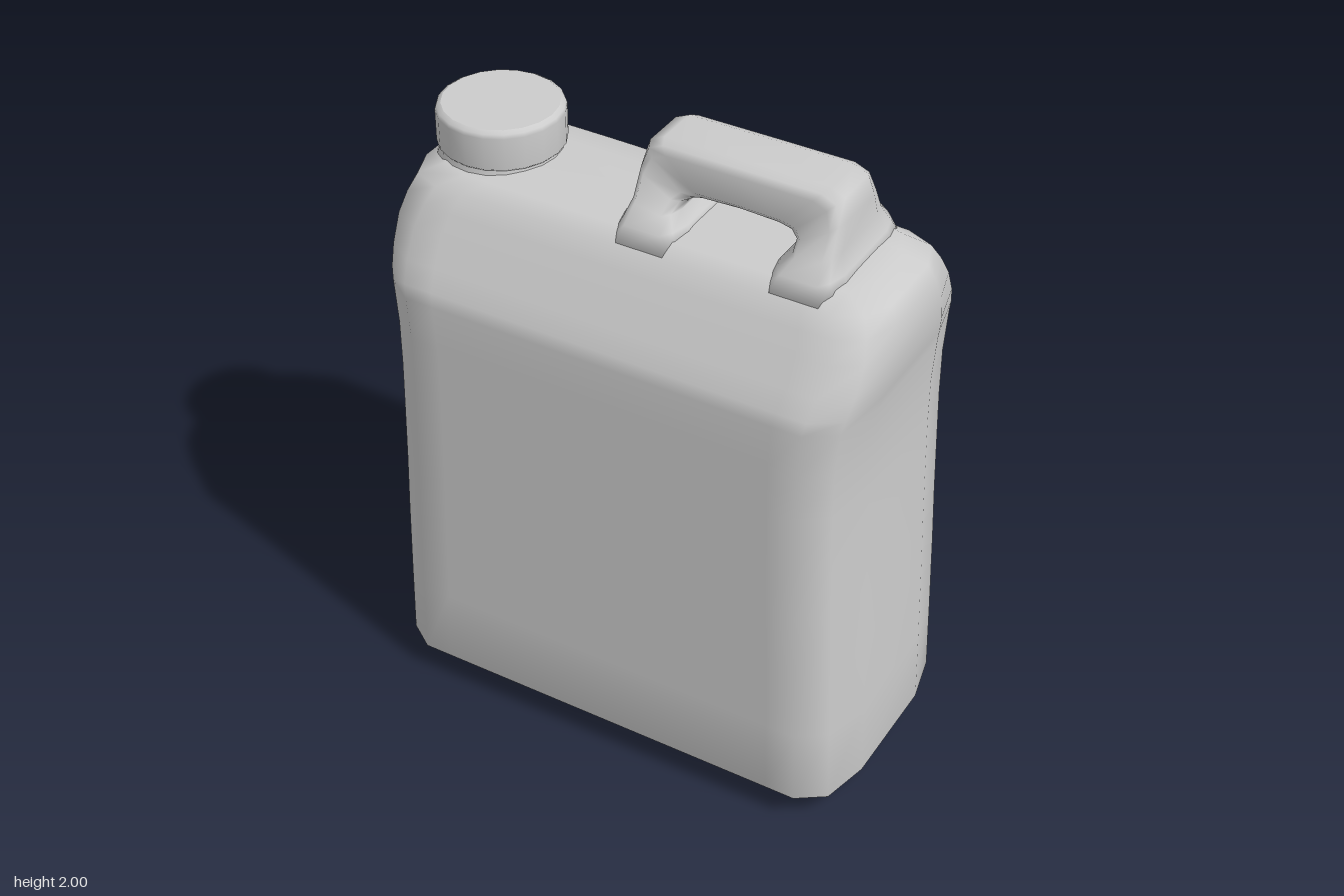
import * as THREE from 'three';

const material = new THREE.MeshStandardMaterial({ color: 0xcccccc });

// Skins a list of equal-length rings of [x, y, z] points and closes both ends
function loft(rings) {
  const n = rings[0].length;
  const pos = rings.flat(2);
  const index = [];
  for (let i = 0; i < rings.length - 1; i++) {
    for (let j = 0; j < n; j++) {
      const k = (j + 1) % n;
      const a = i * n + j, b = i * n + k, c = a + n, d = b + n;
      index.push(a, b, d, a, d, c);
    }
  }
  [0, rings.length - 1].forEach((r) => {
    const centre = pos.length / 3;
    for (let k = 0; k < 3; k++) pos.push(rings[r].reduce((s, p) => s + p[k], 0) / n);
    for (let j = 0; j < n; j++) {
      const a = r * n + j, b = r * n + (j + 1) % n;
      index.push(centre, r ? a : b, r ? b : a);
    }
  });
  const g = new THREE.BufferGeometry();
  g.setAttribute('position', new THREE.Float32BufferAttribute(pos, 3));
  g.setIndex(index);
  g.computeVertexNormals();
  return g;
}

// Horizontal body section with soft corners and a shallow dent in the back wall
function bodyRing([y, hx, hz]) {
  const cz = Math.min(0.21, hz * 0.55);
  const fx = hx - 0.12, steps = 14;
  const front = [];
  for (let i = 0; i <= steps; i++) front.push([-fx + (2 * fx * i) / steps, hz]);
  front.push([hx - 0.035, hz - cz * 0.28], [hx, hz - cz]);
  front.unshift([-hx, hz - cz], [-hx + 0.035, hz - cz * 0.28]);
  const back = front.map(([x, z]) => [-x, -z]);
  const dent = (x) => 0.03 * Math.exp(-(((x + 0.08) / 0.16) ** 2) - ((y - 1.15) / 0.45) ** 2);
  return [
    ...front.map(([x, z]) => [x, y, z]),
    ...back.map(([x, z]) => [x, y, z + (Math.abs(x) <= fx ? dent(x) : 0)]),
  ];
}

// Handle section between an outer and an inner point, hz is half its depth
const handleSection = [
  [0.6, 1], [-0.6, 1], [-0.85, 0.85], [-1, 0.6], [-1, -0.6], [-0.85, -0.85],
  [-0.6, -1], [0.6, -1], [0.85, -0.85], [1, -0.6], [1, 0.6], [0.85, 0.85],
];
function handleRing([ox, oy, ix, iy, hz]) {
  return handleSection.map(([u, w]) => {
    const t = (u + 1) / 2;
    return [ix + (ox - ix) * t, iy + (oy - iy) * t, w * hz];
  });
}

export function createModel() {
  const group = new THREE.Group();
  const add = (name, geometry) => {
    const mesh = new THREE.Mesh(geometry, material);
    mesh.name = name;
    group.add(mesh);
    return mesh;
  };

  // Body: height, half width, half depth
  add('body', loft([
    [0, 0.64, 0.18], [0.03, 0.74, 0.33], [0.1, 0.775, 0.393], [0.35, 0.768, 0.393],
    [0.6, 0.76, 0.393], [0.8, 0.752, 0.393], [1, 0.746, 0.393], [1.15, 0.742, 0.393],
    [1.3, 0.742, 0.393], [1.44, 0.752, 0.393], [1.48, 0.76, 0.383], [1.54, 0.77, 0.35],
    [1.62, 0.773, 0.303], [1.68, 0.76, 0.268], [1.73, 0.74, 0.235], [1.765, 0.67, 0.19],
    [1.775, 0.58, 0.1],
  ].map(bodyRing)));

  // Handle: one half of the loop, mirrored about its middle
  const half = [
    [-0.09, 1.72, 0.17, 1.72, 0.235],
    [-0.055, 1.785, 0.13, 1.785, 0.21],
    [-0.036, 1.84, 0.1, 1.815, 0.17],
    [-0.034, 1.92, 0.107, 1.835, 0.128],
    [-0.018, 1.98, 0.13, 1.846, 0.112],
    [0.025, 2, 0.17, 1.853, 0.11],
    [0.275, 2, 0.275, 1.858, 0.11],
  ];
  const other = half.slice(0, -1).reverse()
    .map(([ox, oy, ix, iy, hz]) => [0.55 - ox, oy, 0.55 - ix, iy, hz]);
  add('handle', loft([...half, ...other].map(handleRing)));

  // Filler neck and screw cap
  const lathe = (pts) => new THREE.LatheGeometry(pts.map(([r, y]) => new THREE.Vector2(r, y)), 20);
  add('neck', lathe([[0.2, 1.68], [0.19, 1.74], [0.178, 1.77], [0.175, 1.81]]))
    .position.set(-0.55, 0, -0.005);
  add('cap', lathe([
    [0, 1.785], [0.18, 1.785], [0.18, 1.785], [0.187, 1.792], [0.187, 1.89],
    [0.183, 1.902], [0.17, 1.91], [0.17, 1.91], [0, 1.91],
  ])).position.set(-0.55, 0, -0.005);

  return group;
}
